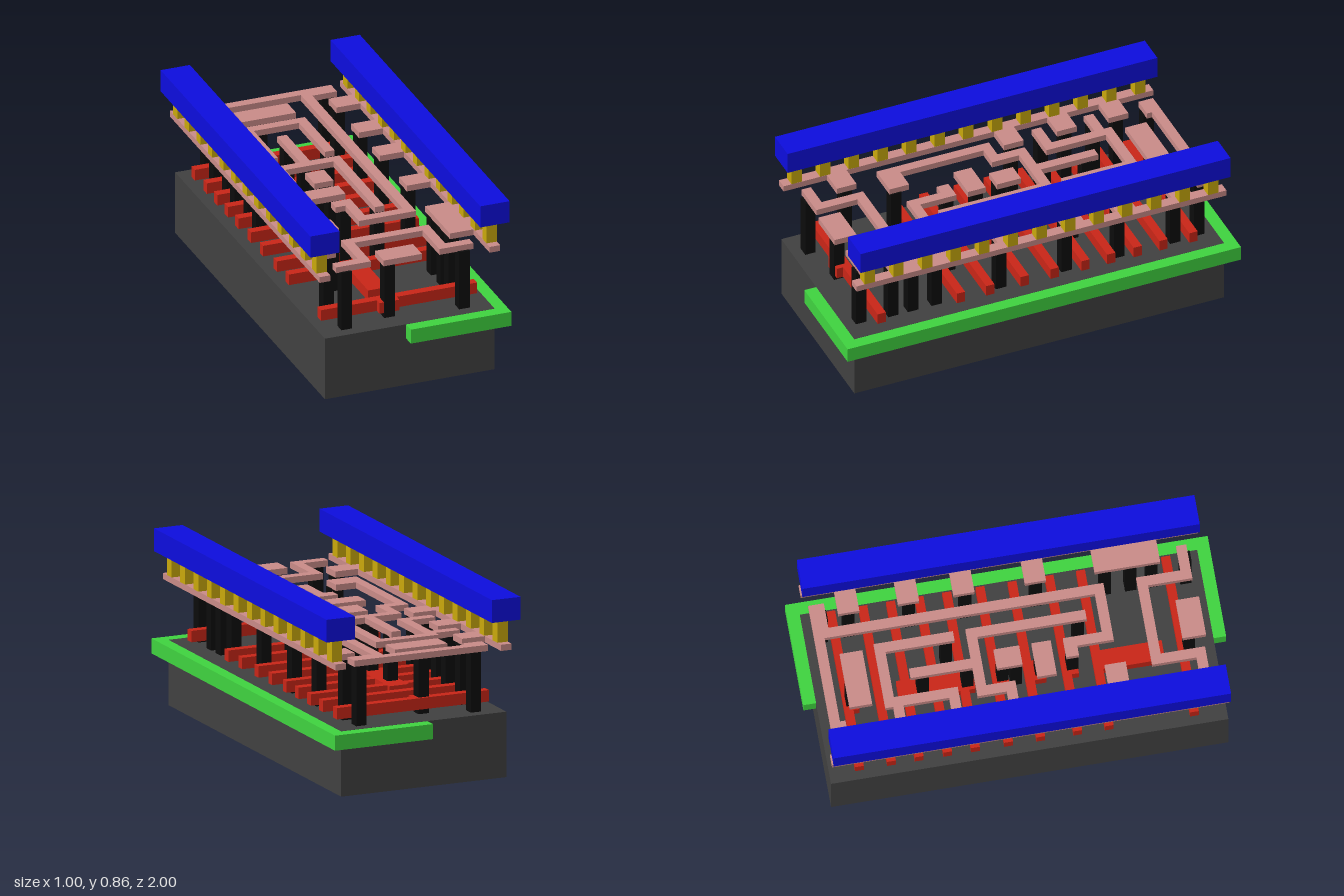
import * as THREE from 'three';

const mat = (color) => new THREE.MeshStandardMaterial({ color });
const MATS = {
  base: mat(0x404040), well: mat(0x3fd23f), gate: mat(0xc82517), contact: mat(0x0c0c0c),
  metal: mat(0xc88a87), via: mat(0xc8a80c), rail: mat(0x0d0ddd),
};

// Layer heights, bottom and top
const LAYER = {
  base: [0, 0.315], well: [0.242, 0.3145], gate: [0.34, 0.395], contact: [0.315, 0.612],
  metal: [0.61, 0.64], via: [0.64, 0.75], rail: [0.75, 0.86],
};

export function createModel() {
  const model = new THREE.Group();
  const layers = {};

  // Box on a layer, given by its plan rectangle
  function plate(layer, name, x0, x1, z0, z1) {
    if (!layers[layer]) {
      layers[layer] = new THREE.Group();
      layers[layer].name = layer + 'Layer';
      model.add(layers[layer]);
    }
    const [y0, y1] = LAYER[layer];
    const mesh = new THREE.Mesh(new THREE.BoxGeometry(x1 - x0, y1 - y0, z1 - z0), MATS[layer]);
    mesh.position.set((x0 + x1) / 2, (y0 + y1) / 2, (z0 + z1) / 2);
    mesh.name = name;
    layers[layer].add(mesh);
  }
  const post = (layer, name, x, z, w = 0.053) =>
    plate(layer, name, x - w / 2, x + w / 2, z - w / 2, z + w / 2);

  // Metal track following a right-angled path of centre points
  function track(name, points, w = 0.048) {
    for (let i = 1; i < points.length; i++) {
      const [ax, az] = points[i - 1], [bx, bz] = points[i];
      plate('metal', name, Math.min(ax, bx) - w / 2, Math.max(ax, bx) + w / 2,
        Math.min(az, bz) - w / 2, Math.max(az, bz) + w / 2);
    }
  }

  // Block and the well set into its left half
  plate('base', 'substrate', -0.427, 0.425, -0.94, 0.94);
  plate('well', 'well', -0.02, 0.485, -1, 1);

  // Gate bars across the block
  for (const z of [-0.8, -0.648, -0.517, -0.382, -0.251, -0.094, 0.058, 0.233, 0.382, 0.785])
    plate('gate', 'gateBar', -0.393, 0.39, z - 0.021, z + 0.021);

  // Lengthwise gate links and contact pads
  plate('gate', 'gateLink', -0.105, -0.005, -0.56, -0.2);
  plate('gate', 'gateLink', -0.112, -0.016, 0.37, 0.695);
  for (const [z0, z1] of [[-0.82, -0.75], [-0.113, -0.04], [0.04, 0.135], [0.213, 0.288], [0.764, 0.838]])
    plate('gate', 'gatePad', -0.112, -0.012, z0, z1);

  // Supply strips, row of vias and top rails on both sides
  for (const s of [-1, 1]) {
    const side = (layer, name, a, b, z0, z1) =>
      plate(layer, name, Math.min(s * a, s * b), Math.max(s * a, s * b), z0, z1);
    side('metal', 'supplyStrip', 0.4, 0.453, -0.94, 0.94);
    side('rail', 'topRail', 0.353, 0.5, -0.94, 0.94);
    for (let i = 0; i < 13; i++) post('via', 'via', s * 0.427, 0.873 - i * 0.1455);
  }

  // Stubs joining the supply strips
  for (const z of [-0.712, -0.45, -0.18, 0.67]) plate('metal', 'supplyStub', -0.41, -0.283, z - 0.05, z + 0.05);
  for (const z of [-0.733, -0.45, -0.188, 0.15]) plate('metal', 'supplyStub', 0.28, 0.41, z - 0.05, z + 0.05);
  plate('metal', 'supplyStub', 0.28, 0.41, 0.43, 0.74);

  // Signal tracks
  track('longTrack', [[-0.32, -0.89], [0.198, -0.89], [0.198, 0.437], [-0.04, 0.437], [-0.04, 0.252], [-0.088, 0.252]]);
  plate('metal', 'trackEnd', -0.345, -0.245, -0.914, -0.84);
  plate('metal', 'trackEnd', 0.175, 0.345, -0.914, -0.84);
  plate('metal', 'trackEnd', -0.112, -0.016, 0.228, 0.288);
  track('forkTrack', [[-0.32, -0.585], [-0.193, -0.585]]);
  track('forkTrack', [[-0.32, -0.32], [-0.193, -0.32], [-0.193, -0.622], [0.082, -0.622], [0.082, -0.295]]);
  track('centreTrack', [[-0.066, -0.48], [-0.066, -0.188]]);
  track('centreTrack', [[0.082, 0.33], [0.082, -0.188], [-0.208, -0.188], [-0.208, -0.05], [-0.309, -0.05], [-0.309, 0.47]]);
  track('frontTrack', [[-0.32, 0.85], [-0.193, 0.85], [-0.193, 0.64], [0.198, 0.64], [0.198, 0.85], [0.32, 0.85]]);

  // Wide metal pads
  plate('metal', 'metalPad', -0.185, 0.085, -0.81, -0.703);
  plate('metal', 'metalPad', -0.112, -0.016, -0.1, 0.021);
  plate('metal', 'metalPad', -0.185, -0.016, 0.079, 0.17);
  plate('metal', 'metalPad', -0.333, -0.18, 0.397, 0.497);
  plate('metal', 'metalPad', -0.112, 0.08, 0.778, 0.889);

  // Contact posts, by column
  const columns = [
    [-0.311, [-0.71, -0.447, -0.175, 0.67]],
    [-0.296, [-0.86, -0.585, -0.32, 0.86]],
    [-0.2, [0.465]],
    [-0.063, [-0.782, -0.445, -0.235, -0.068, -0.005, 0.112, 0.262, 0.815]],
    [0.085, [-0.31, 0.315]],
    [0.295, [-0.86, 0.86]],
    [0.305, [-0.733, -0.447, -0.18, 0.153, 0.48, 0.6, 0.7]],
  ];
  for (const [x, zs] of columns) for (const z of zs) post('contact', 'contactPost', x, z);

  return model;
}
